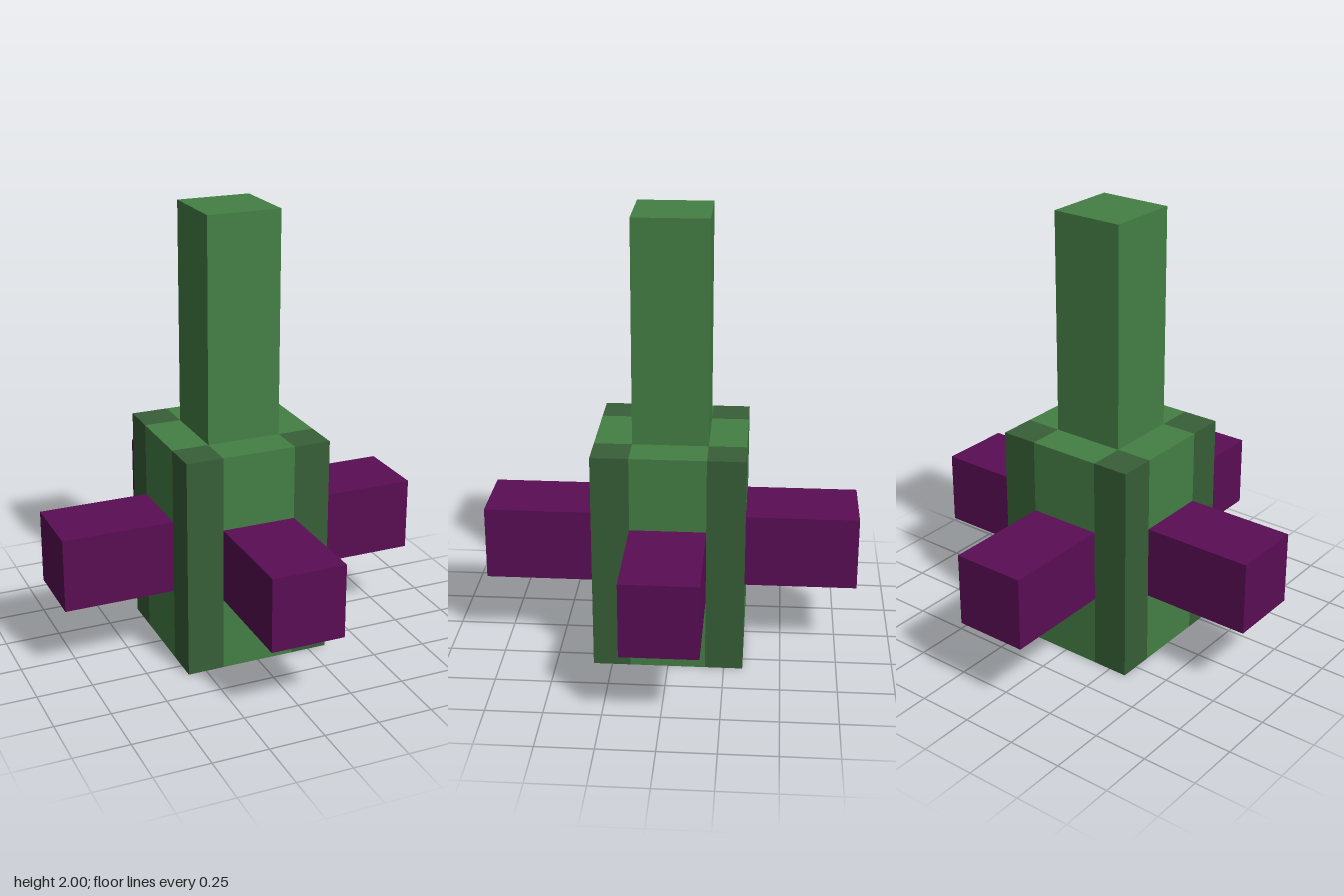
import * as THREE from 'three';

export function createModel() {
  const model = new THREE.Group();
  model.name = 'crossTower';

  const mat = (name, color) => {
    const m = new THREE.MeshStandardMaterial({ color });
    m.name = name;
    return m;
  };
  const green = mat('green', 0x447f44);
  const darkGreen = mat('darkGreen', 0x375f37);
  const purple = mat('purple', 0x5a0d54);

  const U = 1 / 3; // block width
  const H = U / 2; // half block

  const add = (name, geometry, material, x, y, z) => {
    const mesh = new THREE.Mesh(geometry, material);
    mesh.name = name;
    mesh.position.set(x, y, z);
    model.add(mesh);
    return mesh;
  };

  // Plus-shaped body, extruded upwards
  const plus = new THREE.Shape();
  [[H, U], [H, H], [U, H], [U, -H], [H, -H], [H, -U],
    [-H, -U], [-H, -H], [-U, -H], [-U, H], [-H, H], [-H, U]]
    .reverse()
    .forEach(([x, y], i) => (i ? plus.lineTo(x, y) : plus.moveTo(x, y)));
  const bodyGeometry = new THREE.ExtrudeGeometry(plus, { depth: 1, bevelEnabled: false });
  bodyGeometry.rotateX(-Math.PI / 2);
  add('body', bodyGeometry, green, 0, 0, 0);

  // Dark posts filling the four corners of the body
  const postGeometry = new THREE.BoxGeometry(H, 1, H);
  for (const sx of [-1, 1]) {
    for (const sz of [-1, 1]) {
      add('cornerPost', postGeometry, darkGreen, sx * U * 0.75, 0.5, sz * U * 0.75);
    }
  }

  // Upper column
  add('column', new THREE.BoxGeometry(U, 1, U), green, 0, 1.5, 0);

  // Four arms, one on each side
  const armGeometry = new THREE.BoxGeometry(0.5, U, U);
  const reach = U + 0.25;
  const arms = [['leftArm', 1, 0], ['rightArm', -1, 0], ['frontArm', 0, 1], ['backArm', 0, -1]];
  for (const [name, dx, dz] of arms) {
    const arm = add(name, armGeometry, purple, dx * reach, 0.5, dz * reach);
    if (dz) arm.rotation.y = Math.PI / 2;
  }

  return model;
}
